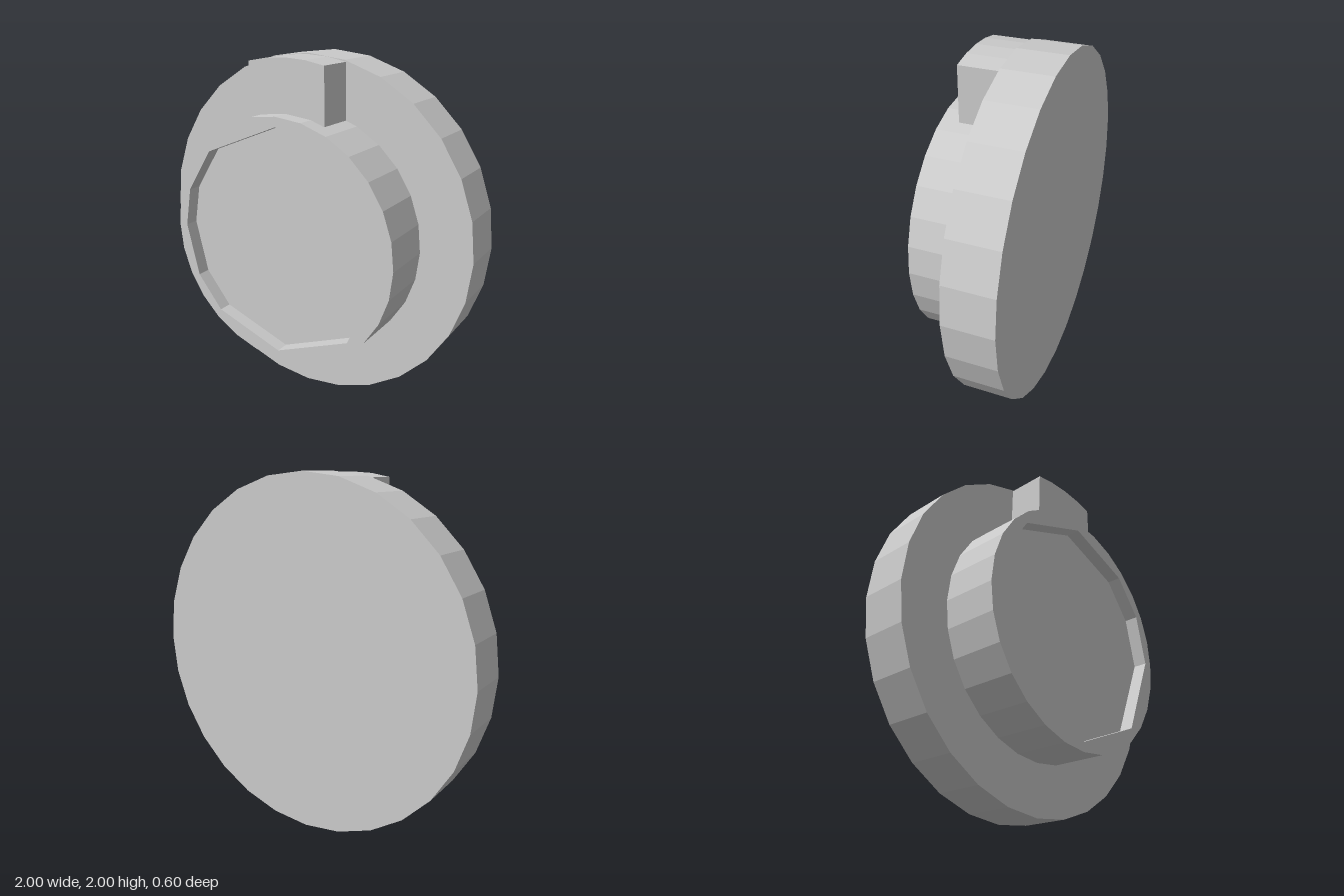
import * as THREE from 'three';

const RIM = 1, HUB = 0.705, RECESS = 0.65;
const BACK = -0.3, DISC_FRONT = -0.02, FLOOR = 0.22, FRONT = 0.3, KEY_FRONT = 0.2;

// Points on a circle at the given angles in degrees
const ring = (radius, angles) => angles.map((a) => {
  const t = THREE.MathUtils.degToRad(a);
  return new THREE.Vector2(radius * Math.cos(t), radius * Math.sin(t));
});
const even = (n) => Array.from({ length: n }, (_, i) => (i * 360) / n);

export function createModel() {
  const model = new THREE.Group();
  const material = new THREE.MeshStandardMaterial({ color: 0xcccccc, flatShading: true });

  // Extrudes an outline from z0 to z1 around the axis at y = 1
  function addPart(name, points, z0, z1, hole) {
    const shape = new THREE.Shape(points);
    if (hole) shape.holes.push(new THREE.Path(hole));
    const geometry = new THREE.ExtrudeGeometry(shape, { depth: z1 - z0, bevelEnabled: false });
    geometry.translate(0, 1, z0);
    const mesh = new THREE.Mesh(geometry, material);
    mesh.name = name;
    model.add(mesh);
  }

  // Wide base disc and the raised hub up to the recess floor
  addPart('baseDisc', ring(RIM, even(28)), BACK, DISC_FRONT);
  const hubOutline = ring(HUB, even(28));
  addPart('hub', hubOutline, DISC_FRONT, FLOOR);

  // Thin lip around the hub, with a coarse, uneven inner edge
  const recess = ring(RECESS, [0, 27, 51, 90, 134, 160, 180, 208, 230, 270, 314]);
  addPart('hubLip', hubOutline, FLOOR, FRONT, recess);

  // Locating key on top, its outer face following the rim
  const keyTop = ring(0.993, [76.4, 83, 90, 97, 103.6]);
  const keyBottom = [new THREE.Vector2(-0.24, 0.66), new THREE.Vector2(0.24, 0.66)];
  addPart('key', [...keyTop, ...keyBottom], DISC_FRONT, KEY_FRONT);

  return model;
}
